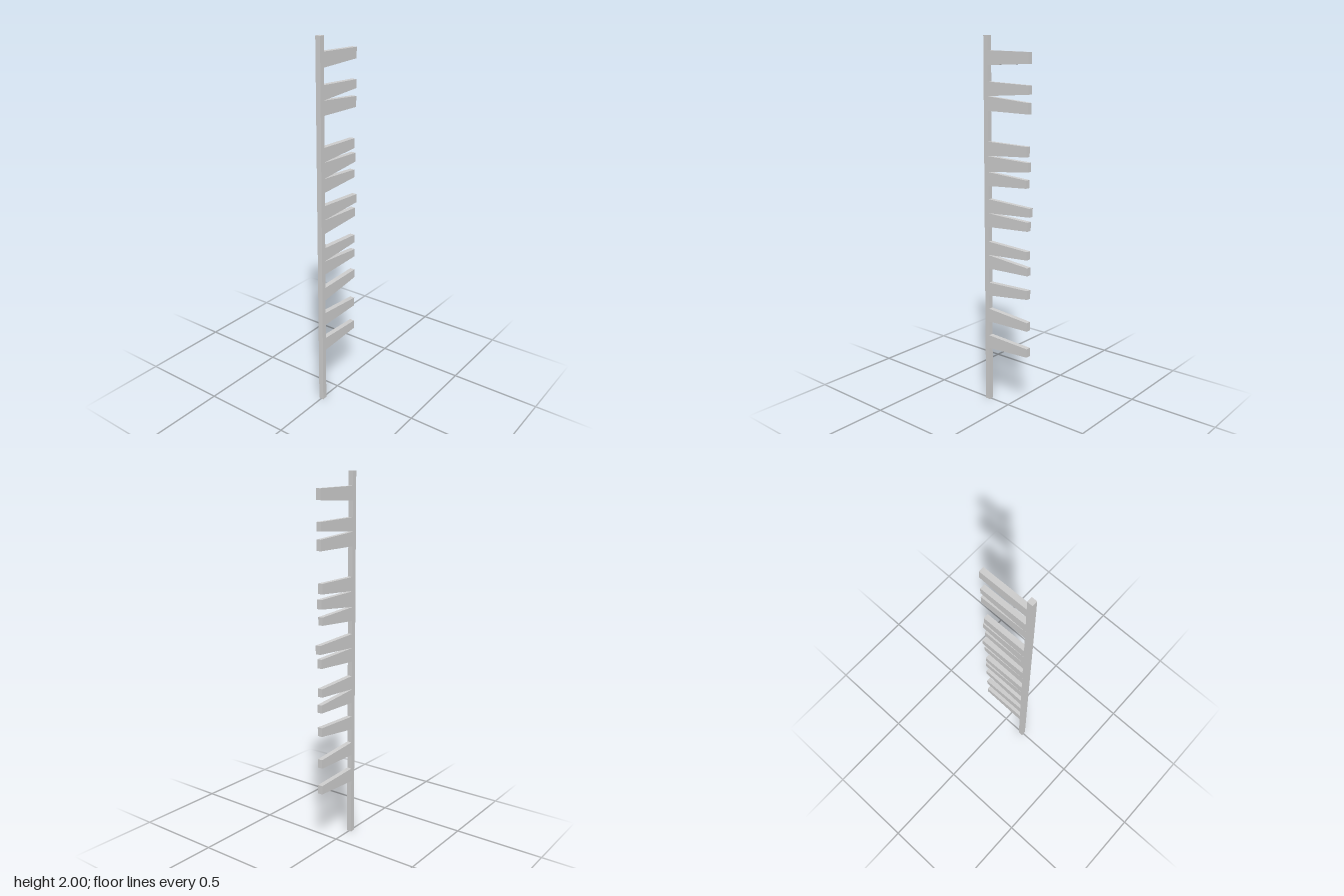
import * as THREE from 'three';

const WIDTH = 0.028;
const POST_FRONT = 0.152;
const POST_BACK = 0.124;

// root top, root bottom, tip top, tip bottom, tip z
const ARMS = [
  [1.926, 1.852, 1.916, 1.860, -0.14],
  [1.770, 1.697, 1.757, 1.712, -0.14],
  [1.696, 1.622, 1.672, 1.616, -0.14],
  [1.463, 1.389, 1.455, 1.402, -0.13],
  [1.387, 1.304, 1.375, 1.327, -0.14],
  [1.303, 1.229, 1.285, 1.243, -0.13],
  [1.158, 1.082, 1.142, 1.096, -0.152],
  [1.081, 1.006, 1.068, 1.020, -0.14],
  [0.925, 0.851, 0.911, 0.866, -0.136],
  [0.849, 0.774, 0.824, 0.781, -0.14],
  [0.694, 0.620, 0.700, 0.652, -0.14],
  [0.543, 0.469, 0.522, 0.474, -0.14],
  [0.387, 0.312, 0.374, 0.326, -0.14],
];

// Side profile of an arm, extruded across the post's width
function armGeometry([rootTop, rootBottom, tipTop, tipBottom, tipZ]) {
  const shape = new THREE.Shape([
    new THREE.Vector2(-POST_BACK, rootBottom),
    new THREE.Vector2(-tipZ, tipBottom),
    new THREE.Vector2(-tipZ, tipTop),
    new THREE.Vector2(-POST_BACK, rootTop),
  ]);
  return new THREE.ExtrudeGeometry(shape, { depth: WIDTH, bevelEnabled: false })
    .translate(0, 0, -WIDTH / 2)
    .rotateY(Math.PI / 2);
}

export function createModel() {
  const group = new THREE.Group();
  group.name = 'armedPost';
  const material = new THREE.MeshStandardMaterial({ color: 0xcccccc, flatShading: true });

  // Upright post
  const post = new THREE.Mesh(new THREE.BoxGeometry(WIDTH, 2, POST_FRONT - POST_BACK), material);
  post.position.set(0, 1, (POST_FRONT + POST_BACK) / 2);
  post.name = 'post';
  group.add(post);

  // Tapered arms reaching backwards
  ARMS.forEach((arm, i) => {
    const mesh = new THREE.Mesh(armGeometry(arm), material);
    mesh.name = `arm${i + 1}`;
    group.add(mesh);
  });

  return group;
}
